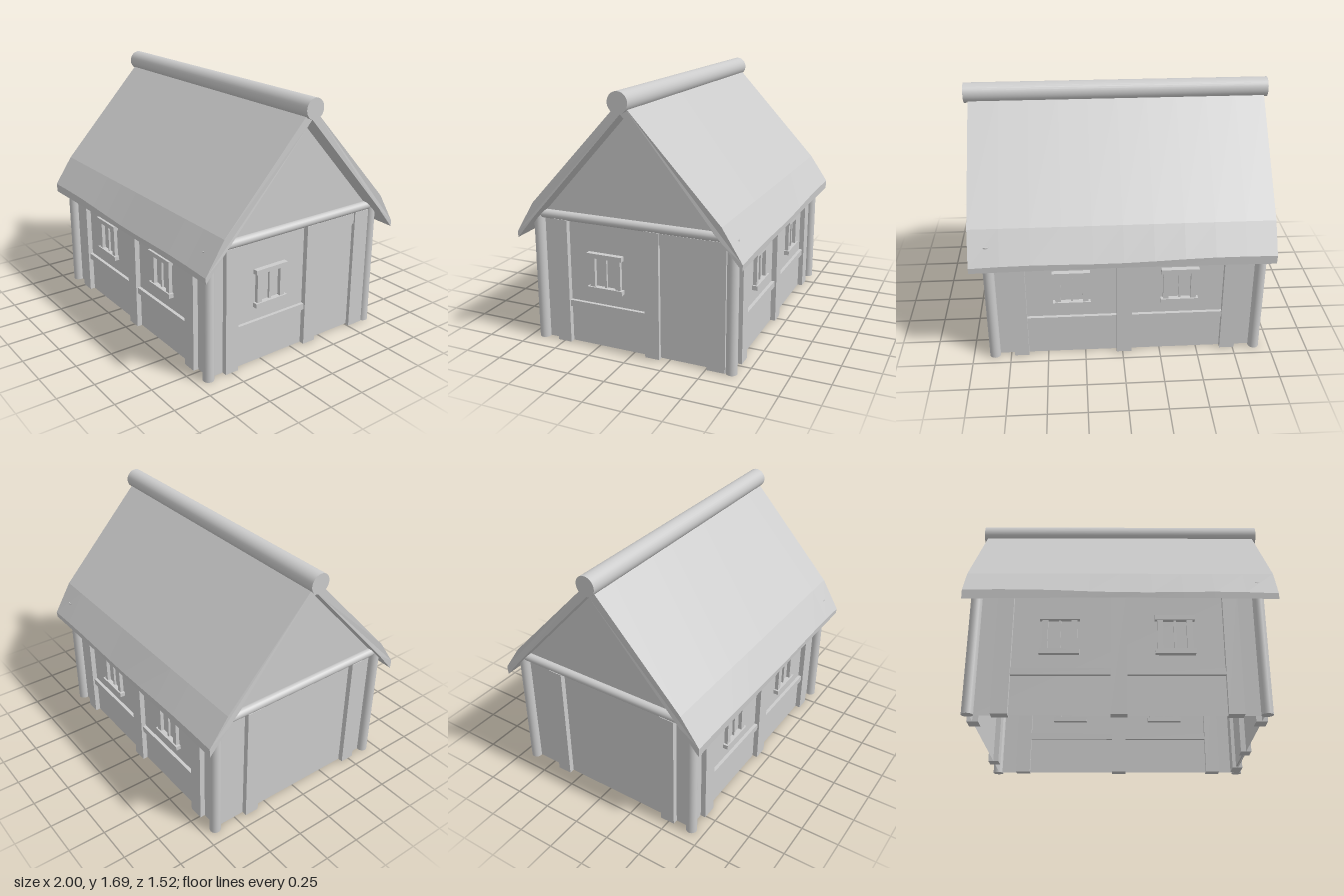
import * as THREE from 'three';

const mat = new THREE.MeshStandardMaterial({ color: 0xcccccc, side: THREE.DoubleSide });
const flat = new THREE.MeshStandardMaterial({ color: 0xcccccc, side: THREE.DoubleSide, flatShading: true });

// Wall planes
const X0 = -0.885, X1 = 0.845, Z = 0.645;

function add(parent, name, geometry, x = 0, y = 0, z = 0, material = mat) {
  const mesh = new THREE.Mesh(geometry, material);
  mesh.name = name;
  mesh.position.set(x, y, z);
  parent.add(mesh);
  return mesh;
}

// Box lying on a wall facing local +z: u and y ranges, half of its depth sunk into the wall
function plank(parent, name, u0, u1, y0, y1, depth) {
  return add(parent, name, new THREE.BoxGeometry(u1 - u0, y1 - y0, depth), (u0 + u1) / 2, (y0 + y1) / 2, 0);
}

function stud(parent, u0, u1, top) {
  plank(parent, 'wallStud', u0, u1, 0, top, 0.07);
}

// Framed window centred on u
function windowFrame(parent, u) {
  const g = new THREE.Group();
  g.name = 'window';
  g.position.x = u;
  plank(g, 'windowSill', -0.123, 0.123, 0.385, 0.415, 0.07);
  plank(g, 'windowHead', -0.123, 0.123, 0.61, 0.64, 0.07);
  for (const s of [-1, 1]) {
    plank(g, 'windowJamb', s * 0.09 - 0.018, s * 0.09 + 0.018, 0.415, 0.61, 0.05);
  }
  plank(g, 'windowMullion', -0.007, 0.007, 0.415, 0.61, 0.03);
  parent.add(g);
}

// Long wall with studs, rails and two windows; local +z faces outwards
function longWall(name) {
  const g = new THREE.Group();
  g.name = name;
  add(g, 'wallPanel', new THREE.PlaneGeometry(X1 - X0, 0.85), (X0 + X1) / 2, 0.425, 0);
  stud(g, -0.76, -0.66, 0.84);
  stud(g, -0.06, 0.04, 0.84);
  stud(g, 0.63, 0.725, 0.84);
  plank(g, 'wallRail', -0.66, -0.06, 0.25, 0.293, 0.045);
  plank(g, 'wallRail', 0.04, 0.63, 0.25, 0.293, 0.045);
  windowFrame(g, -0.373);
  windowFrame(g, 0.333);
  return g;
}

// Gable wall with a round tie beam; local +z faces outwards
function gableWall(name) {
  const g = new THREE.Group();
  g.name = name;
  const outline = [[-Z, 0], [Z, 0], [Z, 0.86], [0, 1.58], [-Z, 0.86]];
  add(g, 'gablePanel', new THREE.ShapeGeometry(new THREE.Shape(outline.map(p => new THREE.Vector2(...p)))));
  const beam = add(g, 'tieBeam', new THREE.CylinderGeometry(0.029, 0.029, 1.27, 20), 0, 0.857, 0.012);
  beam.rotation.z = Math.PI / 2;
  return g;
}

// Roof slab for one side (s = 1 front, -1 back), slightly kicked and uneven at the eave
function roofSlab(s) {
  const profile = [[0, 1.632], [0.63, 0.957], [0.758, 0.768], [0.755, 0.712], [0.62, 0.872], [0, 1.555]];
  const shape = new THREE.Shape(profile.map(([z, y]) => new THREE.Vector2(s * z, y)));
  const geo = new THREE.ExtrudeGeometry(shape, { depth: 1.95, steps: 10, bevelEnabled: false });
  geo.rotateY(-Math.PI / 2).translate(0.973, 0, 0);
  const p = geo.attributes.position;
  for (let i = 0; i < p.count; i++) {
    const x = p.getX(i), y = p.getY(i);
    if (Math.abs(p.getZ(i)) < 0.7) continue;
    if (y > 0.74) p.setY(i, y - 0.012 * x + 0.006 * Math.cos(5 * x + 3) - 0.006);
    else p.setY(i, y + 0.008 * (1 - x * x));
    p.setX(i, x * 0.996);
  }
  geo.computeVertexNormals();
  return geo;
}

export function createModel() {
  const house = new THREE.Group();
  house.name = 'house';

  // Long walls, mirrored front to back
  const front = longWall('frontWall');
  front.position.z = Z;
  const back = longWall('backWall');
  back.position.z = -Z;
  house.add(front, back);

  // Gable with door and window: local x runs towards -z
  const doorGable = gableWall('doorGable');
  doorGable.rotation.y = Math.PI / 2;
  doorGable.position.x = X1;
  stud(doorGable, -0.545, -0.45, 0.835);
  stud(doorGable, 0.09, 0.187, 0.835);
  stud(doorGable, 0.505, 0.625, 0.835);
  plank(doorGable, 'wallRail', -0.45, 0.09, 0.25, 0.293, 0.045);
  plank(doorGable, 'door', 0.187, 0.505, 0.01, 0.757, 0.02);
  plank(doorGable, 'doorLintel', 0.187, 0.505, 0.757, 0.83, 0.05);
  windowFrame(doorGable, -0.19);
  house.add(doorGable);

  // Plain gable: local x runs towards +z
  const plainGable = gableWall('plainGable');
  plainGable.rotation.y = -Math.PI / 2;
  plainGable.position.x = X0;
  stud(plainGable, -0.43, -0.33, 0.835);
  stud(plainGable, 0.44, 0.54, 0.835);
  house.add(plainGable);

  // Round corner posts
  for (const x of [-0.895, 0.857]) {
    for (const z of [-0.661, 0.661]) {
      add(house, 'cornerPost', new THREE.CylinderGeometry(0.036, 0.036, 0.86, 20), x, 0.43, z);
    }
  }

  // Roof and ridge log
  add(house, 'frontRoof', roofSlab(1), 0, 0, 0, flat);
  add(house, 'backRoof', roofSlab(-1), 0, 0, 0, flat);
  const ridge = add(house, 'ridgeLog', new THREE.CylinderGeometry(0.066, 0.066, 2, 32), 0, 1.625, 0.003);
  ridge.rotation.z = Math.PI / 2;

  return house;
}
